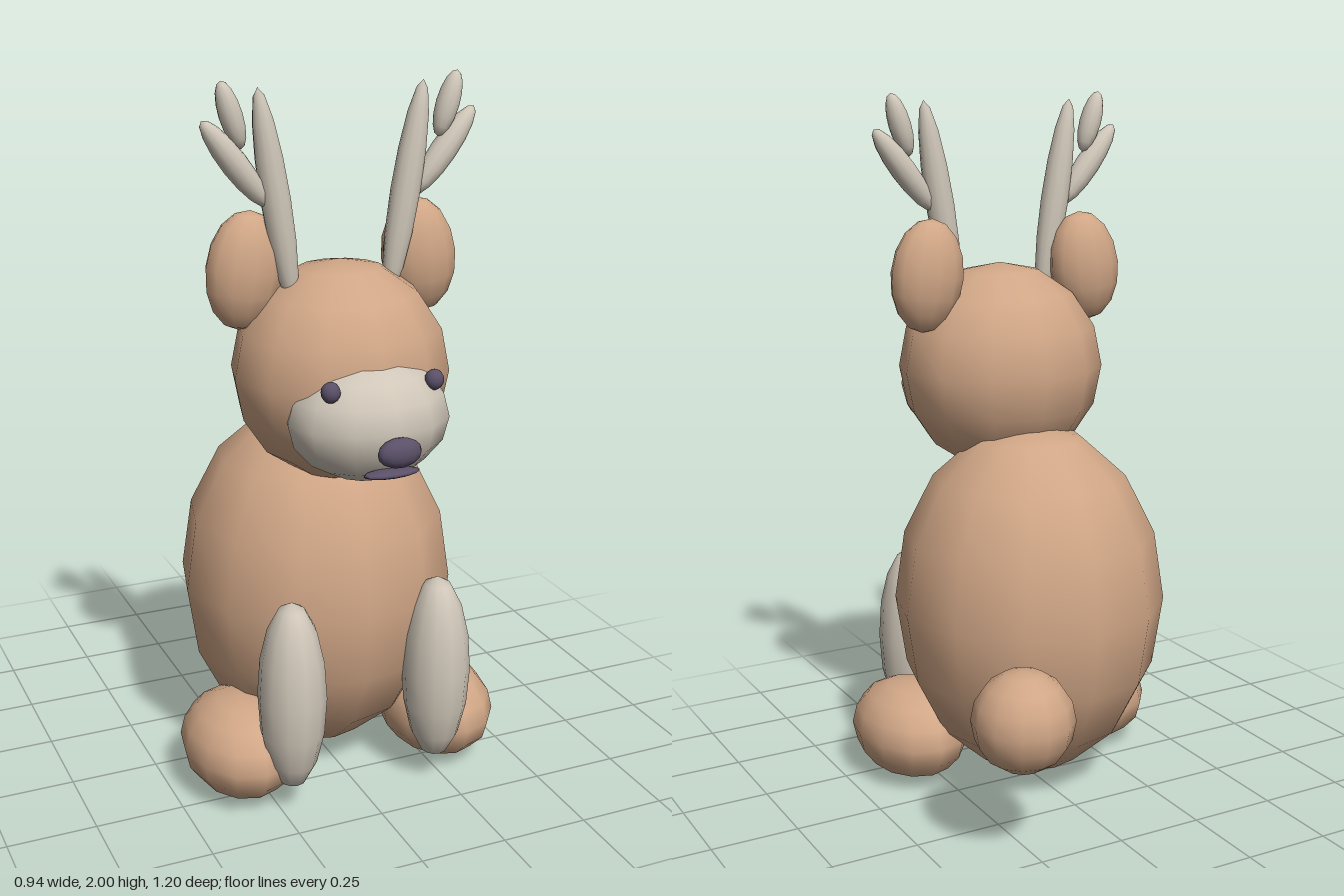
import * as THREE from 'three';

export function createModel() {
  const model = new THREE.Group();
  model.name = 'seatedDeer';

  const material = (name, color) => {
    const m = new THREE.MeshStandardMaterial({ color });
    m.name = name;
    return m;
  };
  const tan = material('tanFur', 0xd0a686);
  const cream = material('creamFur', 0xd0c7b9);
  const dark = material('darkPlum', 0x5a5068);

  // Every part is a stretched low-poly ball with smooth normals
  const ball = new THREE.SphereGeometry(1, 12, 8);

  function blob(name, mat, position, radii, tilt = 0) {
    const mesh = new THREE.Mesh(ball, mat);
    mesh.name = name;
    mesh.position.set(...position);
    mesh.scale.set(...radii);
    mesh.rotation.z = tilt;
    model.add(mesh);
  }

  // Mirrored pair, given for the +x side
  function pair(name, mat, [x, y, z], radii, tilt = 0) {
    blob(name + 'Left', mat, [x, y, z], radii, tilt);
    blob(name + 'Right', mat, [-x, y, z], radii, -tilt);
  }

  // Body, head and the off-centre tail
  blob('body', tan, [0, 0.553, 0.02], [0.394, 0.523, 0.394]);
  blob('head', tan, [0, 1.217, 0.193], [0.303, 0.303, 0.279]);
  blob('tail', tan, [0.285, 0.4, -0.46], [0.14, 0.14, 0.14]);

  // Face
  blob('snout', cream, [0, 1.135, 0.372], [0.226, 0.17, 0.188]);
  blob('nose', dark, [0, 1.095, 0.57], [0.062, 0.04, 0.03]);
  blob('mouth', dark, [0, 1.025, 0.525], [0.08, 0.012, 0.03]);
  pair('eye', dark, [0.147, 1.243, 0.467], [0.026, 0.028, 0.025]);
  pair('ear', tan, [0.255, 1.5, 0.147], [0.108, 0.16, 0.083], 0.12);

  // Limbs
  pair('frontLeg', cream, [0.22, 0.357, 0.38], [0.095, 0.28, 0.104]);
  pair('hindFoot', tan, [0.309, 0.145, 0.2], [0.162, 0.143, 0.218]);

  // Antlers: a beam with two tines each
  pair('antlerBeam', cream, [0.186, 1.69, 0.2], [0.04, 0.293, 0.04], -0.163);
  pair('antlerOuterTine', cream, [0.297, 1.79, 0.2], [0.036, 0.143, 0.036], -0.66);
  pair('antlerUpperTine', cream, [0.306, 1.913, 0.2], [0.031, 0.09, 0.033], -0.3);

  return model;
}
